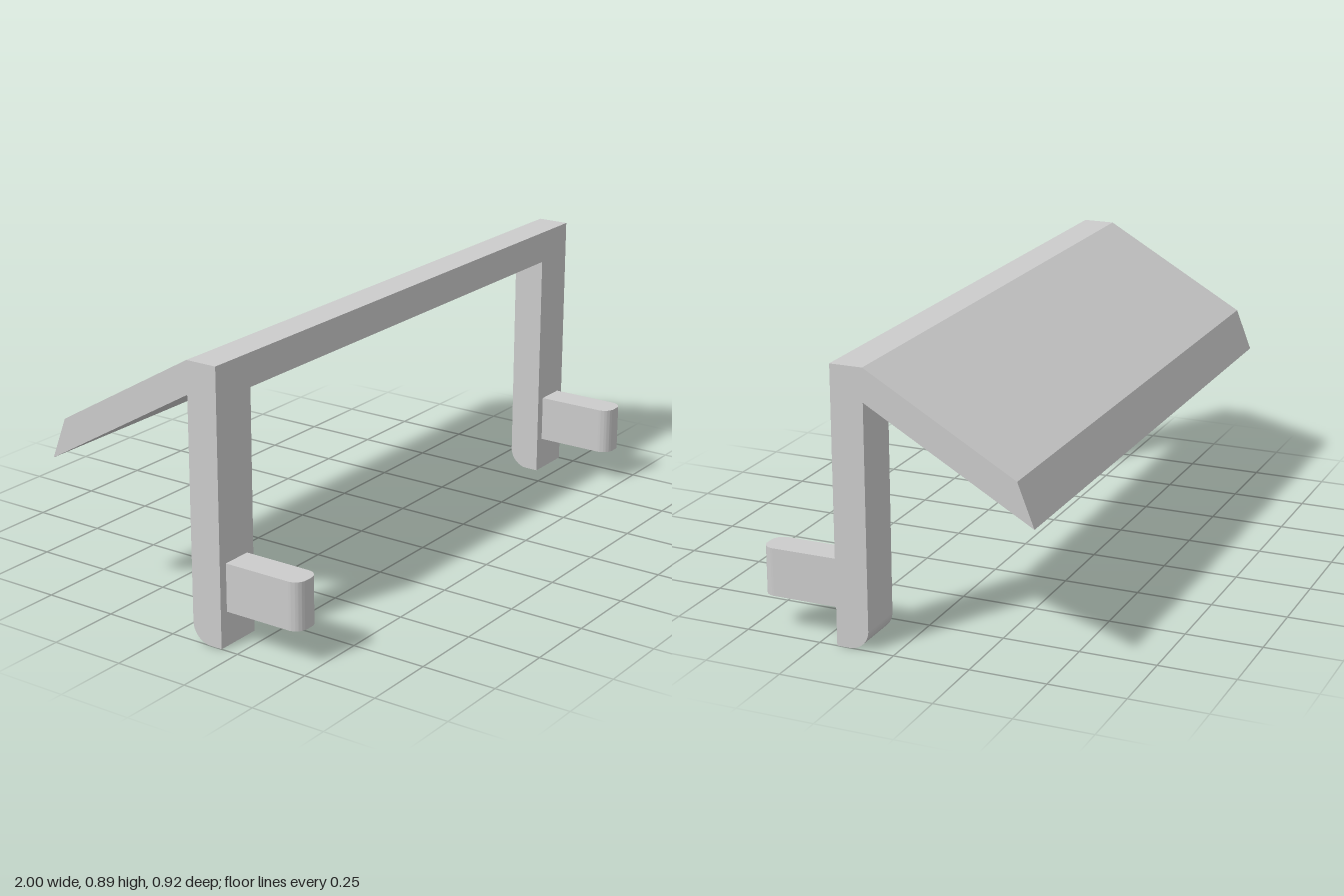
import * as THREE from 'three';
import { toCreasedNormals } from 'three/addons/utils/BufferGeometryUtils.js';

const material = new THREE.MeshStandardMaterial({ color: 0xcccccc });

function extrude(shape, depth) {
  return new THREE.ExtrudeGeometry(shape, { depth, bevelEnabled: false, curveSegments: 12 });
}

// Side profile drawn as (-z, y), extruded along x from x0 to x1
function sideExtrude(shape, x0, x1) {
  return extrude(shape, x1 - x0).rotateY(Math.PI / 2).translate(x0, 0, 0);
}

function addPart(group, name, geometry) {
  const mesh = new THREE.Mesh(toCreasedNormals(geometry, 0.5), material);
  mesh.name = name;
  group.add(mesh);
}

// Upright with a rounded lower back edge
function legShape() {
  const front = -0.19, back = -0.083, r = 0.065;
  const s = new THREE.Shape();
  s.moveTo(front, 0);
  s.lineTo(back - r, 0);
  s.absarc(back - r, r, r, -Math.PI / 2, 0, false);
  s.lineTo(back, 0.787);
  s.lineTo(front, 0.787);
  s.closePath();
  return s;
}

// Plan outline of a peg, drawn as (x, z), with rounded front corners
function pegShape(x0, x1) {
  const z0 = 0.19, z1 = 0.46, r = 0.04;
  const s = new THREE.Shape();
  s.moveTo(x0, z0);
  s.lineTo(x1, z0);
  s.lineTo(x1, z1 - r);
  s.absarc(x1 - r, z1 - r, r, 0, Math.PI / 2, false);
  s.lineTo(x0 + r, z1);
  s.absarc(x0 + r, z1 - r, r, Math.PI / 2, Math.PI, false);
  s.closePath();
  return s;
}

export function createModel() {
  const group = new THREE.Group();
  group.name = 'slopedBracket';

  // Top rail and the sloping panel behind it, in one profile
  const panel = new THREE.Shape([
    [-0.19, 0.787], [-0.083, 0.787], [0.46, 0.475],
    [0.406, 0.613], [-0.083, 0.894], [-0.19, 0.894],
  ].map(([x, y]) => new THREE.Vector2(x, y)));
  addPart(group, 'railAndSlopedPanel', sideExtrude(panel, -1, 1));

  // Legs and forward pegs on both sides
  for (const [side, sign] of [['left', 1], ['right', -1]]) {
    const legX = sign * 0.919, pegX = sign * 0.92;
    addPart(group, side + 'Leg', sideExtrude(legShape(), legX - 0.081, legX + 0.081));
    const peg = extrude(pegShape(pegX - 0.051, pegX + 0.051), 0.157);
    addPart(group, side + 'Peg', peg.rotateX(Math.PI / 2).translate(0, 0.27, 0));
  }
  return group;
}
